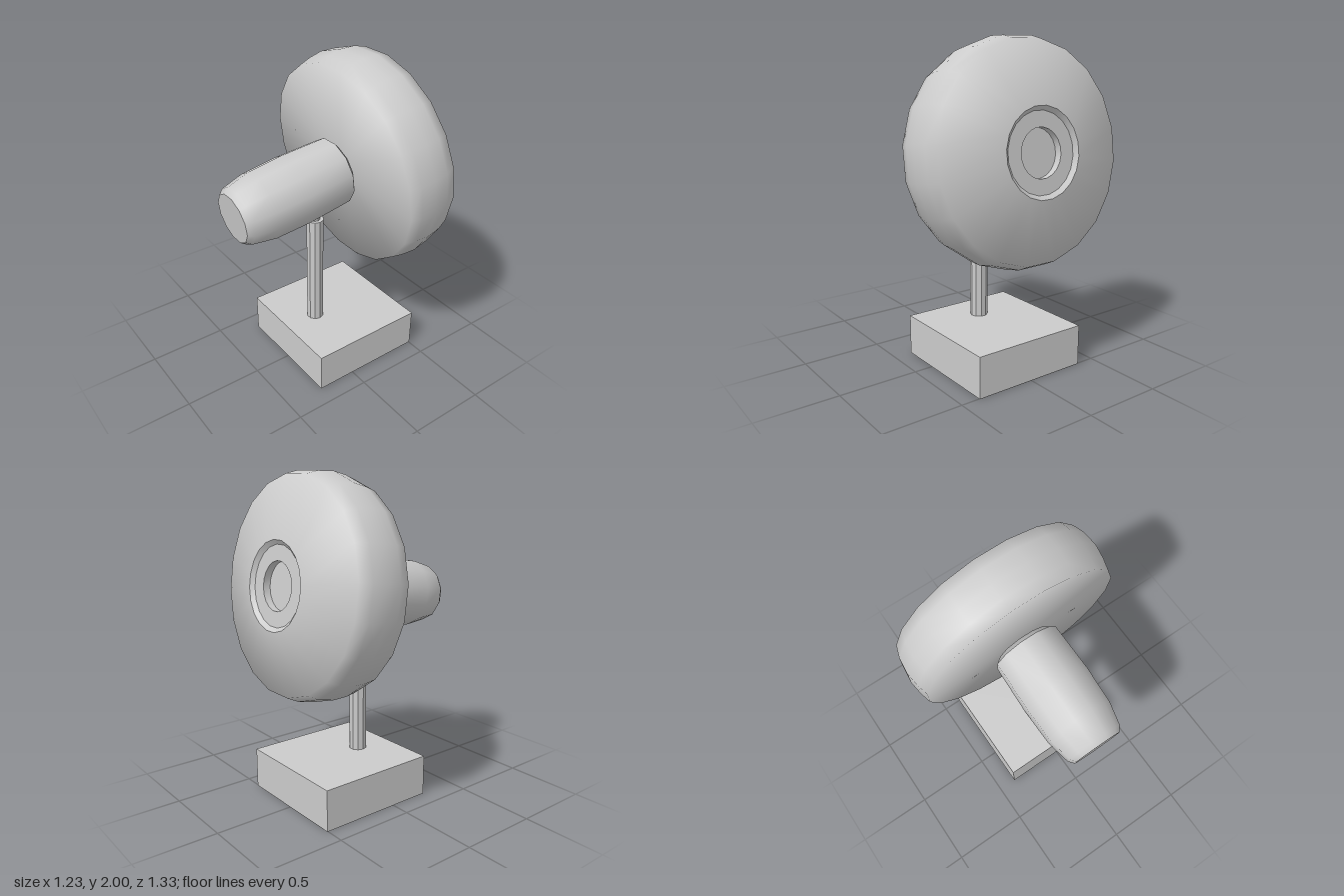
import * as THREE from 'three';
import { toCreasedNormals } from 'three/addons/utils/BufferGeometryUtils.js';

const material = new THREE.MeshStandardMaterial({ color: 0xcccccc });

function addMesh(parent, name, geometry) {
  const mesh = new THREE.Mesh(geometry, material);
  mesh.name = name;
  parent.add(mesh);
  return mesh;
}

// Turned part: profile of [radius, position along axis], from back to front
function turned(profile, sides, crease, start = 0) {
  const points = profile.map(([r, s]) => new THREE.Vector2(r, s));
  return toCreasedNormals(new THREE.LatheGeometry(points, sides, start), crease);
}

export function createModel() {
  const model = new THREE.Group();
  model.name = 'tableFan';

  // Square base
  const base = addMesh(model, 'base', new THREE.BoxGeometry(0.76, 0.255, 0.76));
  base.position.set(0.125, 0.1275, 0);

  // Stand: thick tube with a thinner pin running into the motor
  const pole = (name, r, y0, y1) => {
    const g = new THREE.CylinderGeometry(r, r, y1 - y0, 10);
    const mesh = addMesh(model, name, toCreasedNormals(g, 0.3));
    mesh.position.set(-0.027, (y0 + y1) / 2, 0);
  };
  pole('pole', 0.055, 0.25, 1.005);
  pole('polePin', 0.033, 1.0, 1.12);

  // Head tilted slightly upward, its axis along local y
  const head = new THREE.Group();
  head.name = 'head';
  head.position.set(0.16, 1.322, 0);
  head.rotation.z = THREE.MathUtils.degToRad(7.3 - 90);
  model.add(head);

  // Motor housing, tapering to the rear
  const motor = addMesh(head, 'motorHousing', turned([
    [0, -0.768], [0.155, -0.768], [0.182, -0.735], [0.213, -0.59], [0.221, -0.36],
    [0.212, -0.055], [0.172, -0.025], [0, -0.025],
  ], 12, 0.7, Math.PI / 12));
  motor.position.x = 0.016;

  // Drum-shaped fan cage with a shallow cone at the front
  addMesh(head, 'cage', turned([
    [0, 0], [0.643, 0], [0.661, 0.07], [0.673, 0.16], [0.662, 0.26],
    [0.636, 0.335], [0.26, 0.422],
  ], 20, 1.4, Math.PI / 20));

  // Recessed hub with a chamfered lip and a central socket
  addMesh(head, 'hub', turned([
    [0.26, 0.422], [0.235, 0.4], [0.143, 0.4], [0.143, 0.355], [0, 0.355],
  ], 20, 0.5, Math.PI / 20));

  return model;
}
